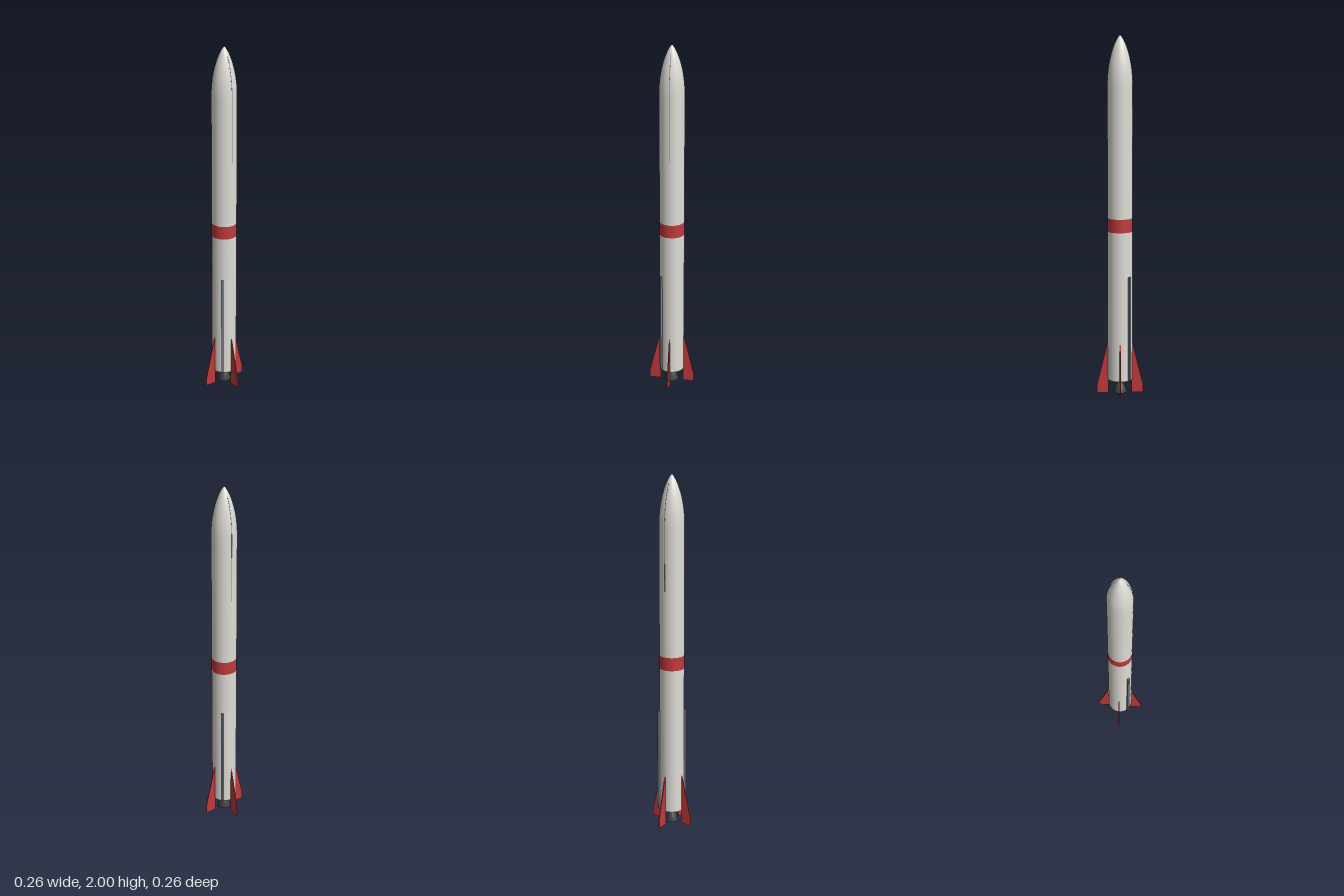
import * as THREE from 'three';

const R = 0.069, BASE = 0.08, SHOULDER = 1.73, TIP = 2;

const material = (name, color, side = THREE.FrontSide) => {
  const m = new THREE.MeshStandardMaterial({ color, side });
  m.name = name;
  return m;
};

// Radius of the hull at a height: straight tube, then a blunt ogive
function hullRadius(y) {
  if (y <= SHOULDER) return R;
  const u = (y - SHOULDER) / (TIP - SHOULDER);
  return R * Math.pow(Math.max(0, 1 - u * u), 0.75);
}

// Nose heights, packed closer together towards the tip
function noseHeights(count, top) {
  return Array.from({ length: count + 1 }, (_, i) =>
    SHOULDER + (top - SHOULDER) * Math.sin((i / count) * Math.PI / 2));
}

export function createModel() {
  const white = material('hullWhite', 0xdedcd5);
  const red = material('signalRed', 0xbf3a3c);
  const steel = material('racewayGrey', 0x7a808a);
  const dark = material('engineDark', 0x3c3c42, THREE.DoubleSide);
  const black = material('baseBlack', 0x242428);

  const group = new THREE.Group();
  group.name = 'rocket';
  const add = (name, geometry, mat) => {
    const mesh = new THREE.Mesh(geometry, mat);
    mesh.name = name;
    group.add(mesh);
    return mesh;
  };
  const tube = (name, y0, y1, mat) => {
    const mesh = add(name, new THREE.CylinderGeometry(R, R, y1 - y0, 64, 1, true), mat);
    mesh.position.y = (y0 + y1) / 2;
  };

  // Hull: lower stage, painted band, upper stage, nose
  tube('lowerStage', BASE, 0.925, white);
  tube('redBand', 0.925, 1.0, red);
  tube('upperStage', 1.0, SHOULDER, white);
  const nose = noseHeights(28, TIP).map(y => new THREE.Vector2(hullRadius(y), y));
  add('noseCone', new THREE.LatheGeometry(nose, 64), white);

  // Closed underside
  const base = add('basePlate', new THREE.CircleGeometry(R, 64), black);
  base.rotation.x = Math.PI / 2;
  base.position.y = BASE;

  // Engine bell with a narrow throat
  const bell = [[0.024, 0.082], [0.019, 0.068], [0.018, 0.062], [0.024, 0.05],
    [0.031, 0.034], [0.036, 0.018], [0.039, 0.004]].reverse();
  add('engineBell', new THREE.LatheGeometry(bell.map(p => new THREE.Vector2(...p)), 40), dark);

  // Four swept fins
  const finShape = new THREE.Shape([[0.065, 0], [0.13, 0], [0.13, 0.045], [0.069, 0.295], [0.065, 0.295]]
    .map(p => new THREE.Vector2(...p)));
  const finGeometry = new THREE.ExtrudeGeometry(finShape, { depth: 0.006, bevelEnabled: false });
  finGeometry.translate(0, 0, -0.003);
  for (let i = 0; i < 4; i++) {
    add('fin', finGeometry, red).rotation.y = i * Math.PI / 2;
  }

  // Fairing seams on the front and back, barely proud of the hull
  const edge = [1.37, ...noseHeights(20, 1.955)]
    .map(y => new THREE.Vector2(hullRadius(y) + 0.0006, y));
  const inner = [...edge].reverse().map(p => new THREE.Vector2(p.x - 0.004, p.y));
  const seamGeometry = new THREE.ExtrudeGeometry(new THREE.Shape([...edge, ...inner]),
    { depth: 0.003, bevelEnabled: false });
  seamGeometry.translate(0, 0, -0.0015);
  for (const side of [-1, 1]) {
    add('fairingSeam', seamGeometry, steel).rotation.y = side * Math.PI / 2;
  }

  // Two cable raceways on opposite diagonals
  const racewayGeometry = new THREE.BoxGeometry(0.016, 0.59, 0.012);
  racewayGeometry.translate(0.072, 0.38, 0);
  for (const turn of [0, Math.PI]) {
    add('raceway', racewayGeometry, steel).rotation.y = Math.PI / 4 + turn;
  }

  return group;
}
